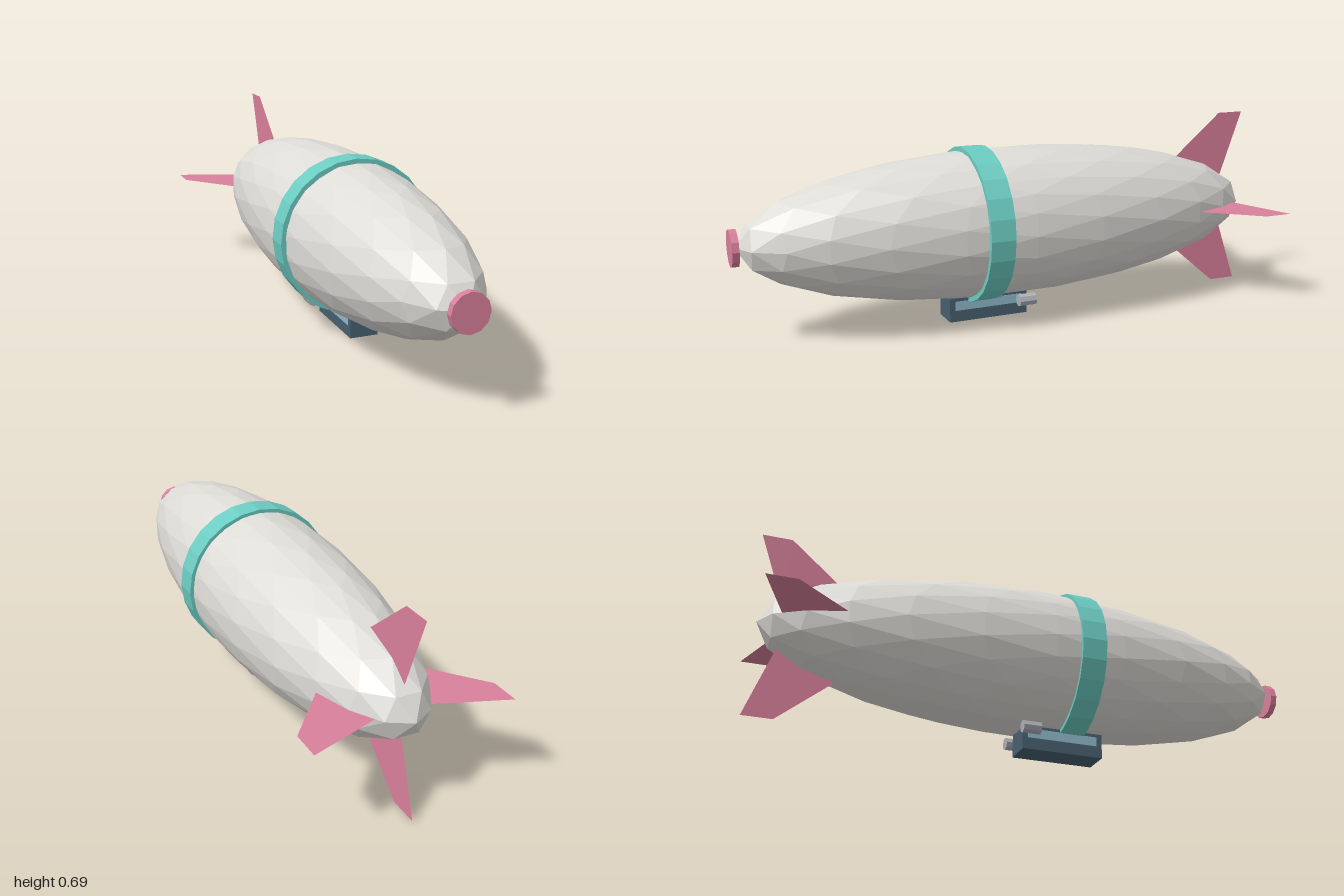
import * as THREE from 'three';

const material = (color, side = THREE.FrontSide) =>
  new THREE.MeshStandardMaterial({ color, flatShading: true, side });

export function createModel() {
  const model = new THREE.Group();
  const axisY = 0.347; // height of the hull's long axis

  const pink = material(0xd9809c);
  const finPink = material(0xd9809c, THREE.DoubleSide);
  const teal = material(0x6cccc2);
  const slate = material(0x47606e);
  const glass = material(0x8fb8cc);
  const metal = material(0xabb0b6);
  const shell = material(0xdedcd7);

  function add(name, geometry, mat, x, y, z) {
    const mesh = new THREE.Mesh(geometry, mat);
    mesh.name = name;
    mesh.position.set(x, y, z);
    model.add(mesh);
    return mesh;
  }

  // Cylinder lying along z
  const rod = (radius, length, sides) =>
    new THREE.CylinderGeometry(radius, radius, length, sides).rotateX(Math.PI / 2);

  // Faceted hull: stretched icosphere
  const hull = new THREE.IcosahedronGeometry(1, 3).rotateY(Math.PI / 2).scale(0.27, 0.27, 0.985);
  add('hull', hull, shell, 0, axisY, 0);

  // Band around the hull and cap on the nose
  add('band', rod(0.28, 0.09, 24), teal, 0, axisY, 0.135);
  add('noseCap', rod(0.065, 0.024, 12), pink, 0, axisY, 0.988);

  // Four flat tail fins; shape x is distance behind the middle, y is radius
  const finShape = new THREE.Shape([
    [0.61, 0.1], [0.895, 0.34], [1, 0.34], [0.897, 0.05],
  ].map(([back, radius]) => new THREE.Vector2(back, radius)));
  const finGeometry = new THREE.ShapeGeometry(finShape).rotateY(Math.PI / 2);
  ['topFin', 'leftFin', 'bottomFin', 'rightFin'].forEach((name, i) => {
    add(name, finGeometry, finPink, 0, axisY, 0).rotation.z = -i * Math.PI / 2;
  });

  // Gondola under the hull, with side windows and engines
  add('gondola', new THREE.BoxGeometry(0.104, 0.088, 0.3), slate, 0, 0.044, 0.1);
  for (const [label, s] of [['left', 1], ['right', -1]]) {
    add(label + 'Window', new THREE.BoxGeometry(0.004, 0.034, 0.26), glass, s * 0.0515, 0.059, 0.1);
    add(label + 'Engine', rod(0.023, 0.065, 8), metal, s * 0.092, 0.064, -0.033);
  }

  return model;
}
